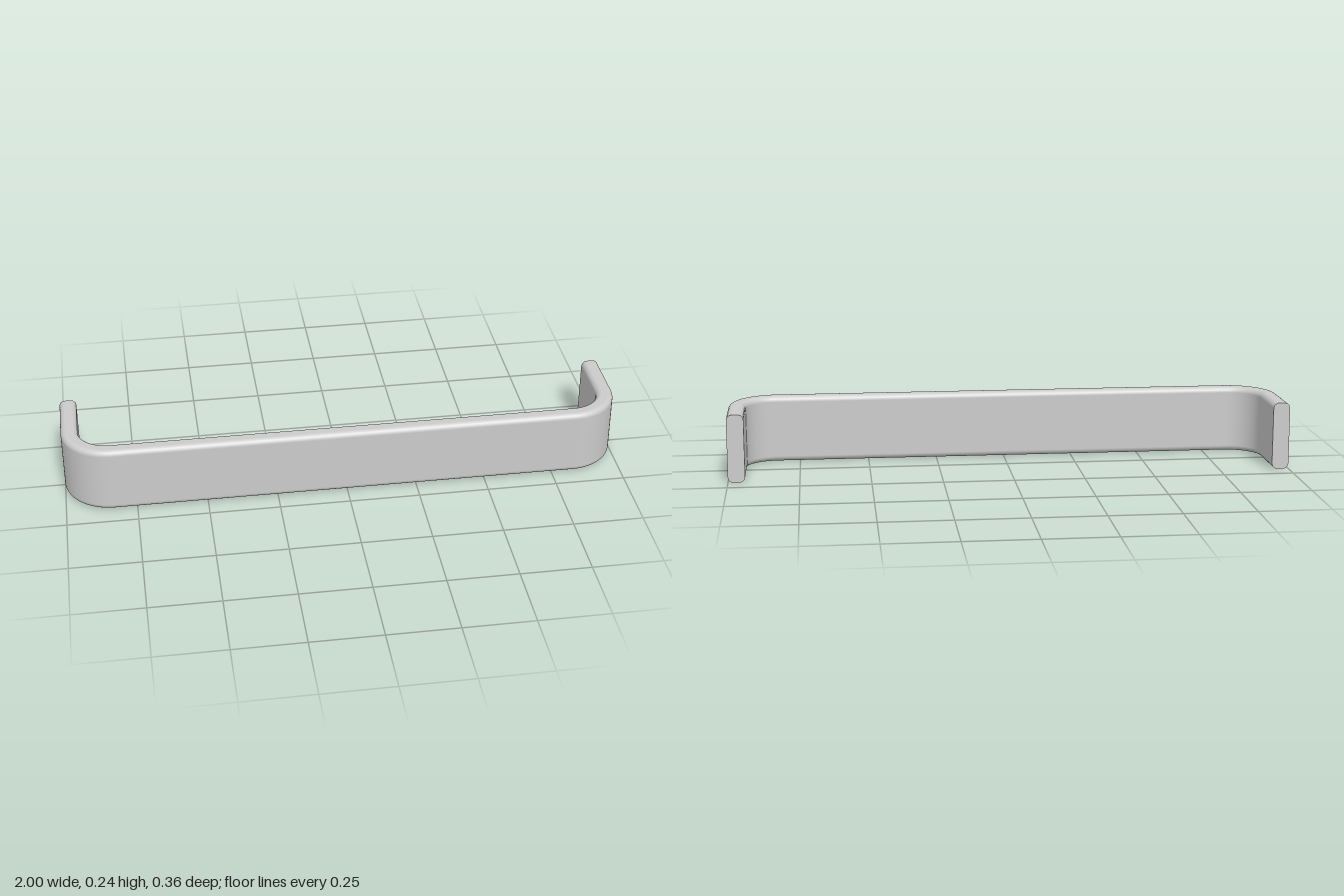
import * as THREE from 'three';

const HEIGHT = 0.242, THICK = 0.06, FILLET = 0.02;   // bar section
const HALF_DEPTH = 0.181, BEND = 0.17;               // overall half depth, outer bend radius

// Rounded-rectangle section, counter-clockwise: u is outward, v is up
function barSection(steps = 6) {
  const points = [];
  const cu = THICK / 2 - FILLET, cv = HEIGHT / 2 - FILLET;
  [[1, 1], [-1, 1], [-1, -1], [1, -1]].forEach(([su, sv], corner) => {
    for (let k = 0; k <= steps; k++) {
      const a = (corner + k / steps) * Math.PI / 2;
      const nu = Math.cos(a), nv = Math.sin(a);
      points.push({ u: su * cu + FILLET * nu, v: sv * cv + FILLET * nv, nu, nv });
    }
  });
  return points;
}

// U-shaped centreline seen from above, with its outward direction
function barPath(steps = 20) {
  const r = BEND - THICK / 2, cx = 1 - BEND, cz = HALF_DEPTH - BEND;
  const path = [{ x: -1 + THICK / 2, z: -HALF_DEPTH, nx: -1, nz: 0 }];
  for (const side of [-1, 1]) {
    for (let k = 0; k <= steps; k++) {
      const t = (side < 0 ? k : steps - k) / steps * Math.PI / 2;
      const nx = side * Math.cos(t), nz = Math.sin(t);
      path.push({ x: side * cx + r * nx, z: cz + r * nz, nx, nz });
    }
  }
  path.push({ x: 1 - THICK / 2, z: -HALF_DEPTH, nx: 1, nz: 0 });
  return path;
}

function sweepBar() {
  const section = barSection(), path = barPath(), n = section.length;
  const positions = [], normals = [], index = [];
  const place = (p, s) => positions.push(p.x + p.nx * s.u, HEIGHT / 2 + s.v, p.z + p.nz * s.u);

  // Swept skin
  path.forEach((p, j) => section.forEach((s, i) => {
    place(p, s);
    normals.push(p.nx * s.nu, s.nv, p.nz * s.nu);
    if (j < path.length - 1) {
      const i2 = (i + 1) % n;
      const a = j * n + i, b = a + n, c = (j + 1) * n + i2, d = j * n + i2;
      index.push(a, b, c, a, c, d);
    }
  }));

  // Flat mounting ends
  [path[0], path[path.length - 1]].forEach((p, end) => {
    const base = positions.length / 3;
    section.forEach((s, i) => {
      place(p, s);
      normals.push(0, 0, -1);
      if (i > 1) index.push(base, base + (end ? i : i - 1), base + (end ? i - 1 : i));
    });
  });

  const geometry = new THREE.BufferGeometry();
  geometry.setAttribute('position', new THREE.Float32BufferAttribute(positions, 3));
  geometry.setAttribute('normal', new THREE.Float32BufferAttribute(normals, 3));
  geometry.setIndex(index);
  return geometry;
}

export function createModel() {
  const group = new THREE.Group();
  group.name = 'pullHandle';
  const bar = new THREE.Mesh(sweepBar(), new THREE.MeshStandardMaterial({ color: 0xcccccc }));
  bar.name = 'bentBar';
  group.add(bar);
  return group;
}
